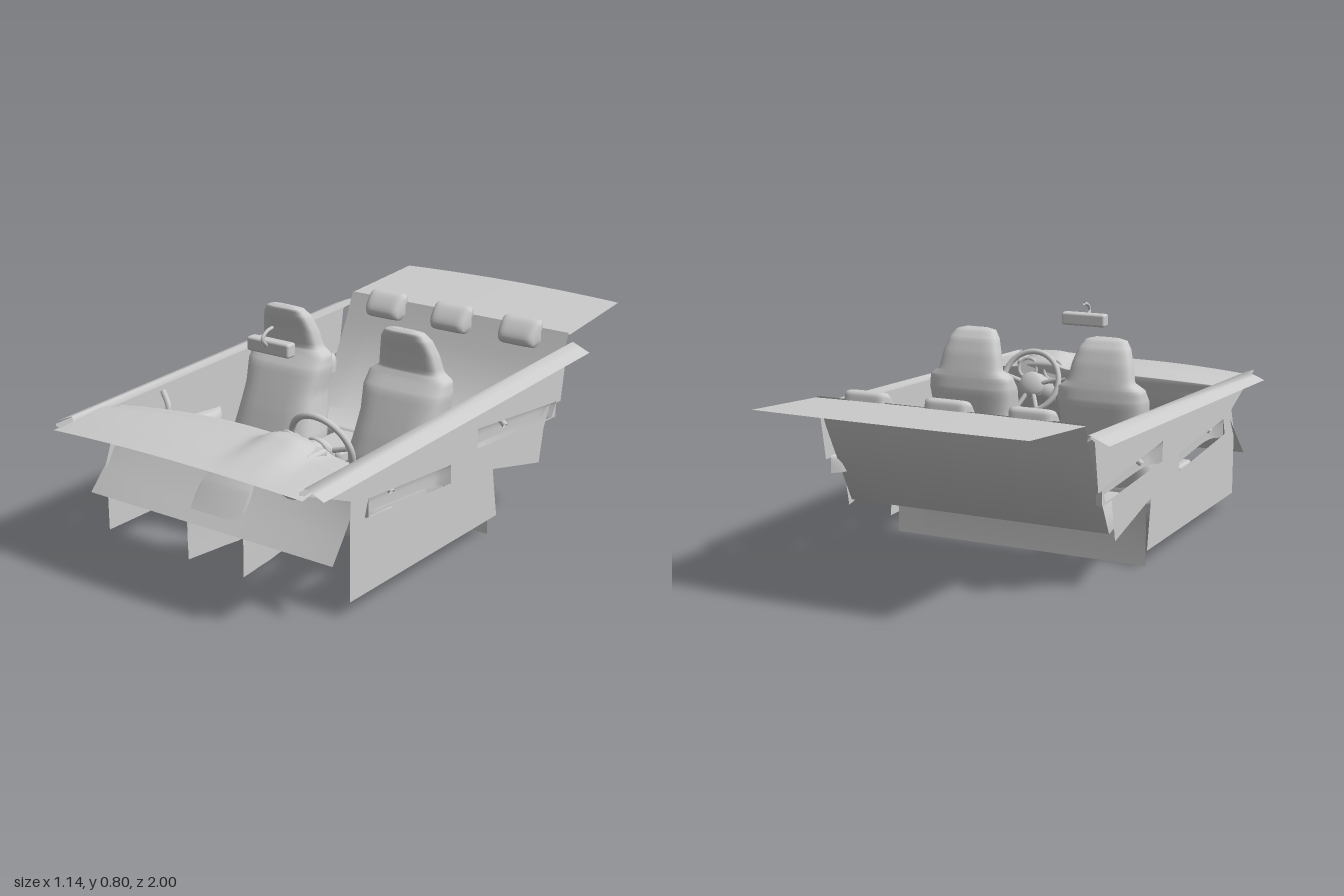
import * as THREE from 'three';
import { RoundedBoxGeometry } from 'three/addons/geometries/RoundedBoxGeometry.js';

const mat = new THREE.MeshStandardMaterial({ color: 0xcccccc, side: THREE.DoubleSide });

function add(parent, name, geo, x = 0, y = 0, z = 0) {
  const m = new THREE.Mesh(geo, mat);
  m.name = name;
  m.position.set(x, y, z);
  parent.add(m);
  return m;
}

// Sheet: f(u, v) returns [x, y, z] for u, v in 0..1
function sheet(nu, nv, f) {
  const pos = [], idx = [];
  for (let j = 0; j <= nv; j++) for (let i = 0; i <= nu; i++) pos.push(...f(i / nu, j / nv));
  for (let j = 0; j < nv; j++) for (let i = 0; i < nu; i++) {
    const a = j * (nu + 1) + i, b = a + 1, c = a + nu + 1, d = c + 1;
    idx.push(a, b, c, b, d, c);
  }
  const g = new THREE.BufferGeometry();
  g.setAttribute('position', new THREE.Float32BufferAttribute(pos, 3));
  g.setIndex(idx);
  g.computeVertexNormals();
  return g;
}

// Linear lookup in a list of rows
function row(rows, t) {
  const k = t * (rows.length - 1), i = Math.min(Math.floor(k), rows.length - 2);
  return rows[i].map((a, n) => a + (rows[i + 1][n] - a) * (k - i));
}

const curve = pts => new THREE.CatmullRomCurve3(pts.map(p => new THREE.Vector3(...p)));
const tube = (pts, r, n = 20) => new THREE.TubeGeometry(curve(pts), n, r, 8);
const sq = (v, p) => Math.sign(v) * Math.abs(v) ** p;

function makeSeat(x) {
  const seat = new THREE.Group();
  seat.name = 'frontSeat';
  seat.position.x = x;
  // Backrest with integral headrest: y, front z, back z, half width
  const levels = [
    [.17, .25, .1, .14], [.22, .24, .07, .17], [.3, .23, .045, .176], [.38, .205, .025, .163], [.45, .18, .015, .155],
    [.53, .15, .005, .163], [.575, .115, .01, .157], [.60, .1, .015, .122], [.66, .11, .03, .11],
    [.71, .125, .05, .094], [.738, .128, .075, .075], [.746, .115, .095, .045], [.746, .105, .103, .002]];
  add(seat, 'seatBack', sheet(32, 48, (u, v) => {
    const [y, zf, zb, hw] = row(levels, v), a = u * Math.PI * 2;
    return [hw * sq(Math.cos(a), .55), y, (zf + zb) / 2 + (zf - zb) / 2 * sq(Math.sin(a), .55)];
  }));
  // Cushion, raised along its sides, rounded underneath and narrower in front
  const cushion = new RoundedBoxGeometry(.32, .13, .45, 6, .055), p = cushion.attributes.position;
  for (let i = 0; i < p.count; i++) {
    const cx = p.getX(i), cz = p.getZ(i);
    if (p.getY(i) > 0) p.setY(i, p.getY(i) + .035 * (cx / .16) ** 2 + .04 * cz);
    p.setX(i, cx * (1 - .3 * cz));
  }
  cushion.computeVertexNormals();
  add(seat, 'seatCushion', cushion, 0, .2, .295);
  for (const s of [-1, 1])
    add(seat, 'seatSideTrim', new RoundedBoxGeometry(.045, .13, .12, 3, .012), s * .155, .175, .44);
  return seat;
}

function makeDoor(s) {
  const door = new THREE.Group();
  door.name = s > 0 ? 'leftDoor' : 'rightDoor';
  const topY = z => .5 + (.98 - z) * .045;
  const holes = [
    [[.64, .37], [.18, .34], [.18, .275], [.66, .31]],
    [[.02, .42], [-.5, .375], [-.47, .325], [.02, .35]]];
  // Side panel with two armrest openings
  const vec = a => a.map(q => new THREE.Vector2(...q));
  const front = s > 0 ? .735 : .765;
  const outline = new THREE.Shape(vec([
    [.98, .49], [.73, .39], [front, .3], [front, .055], [-.11, .065], [-.08, .245],
    [-.39, .175], [-.42, .32], [-.49, .32], [-.5, .37], [-.53, .37], [-.56, .54], [-.6, .565], [.98, .5]]));
  holes.forEach(h => outline.holes.push(new THREE.Path(vec(h))));
  const panel = new THREE.ShapeGeometry(outline), p = panel.attributes.position;
  for (let i = 0; i < p.count; i++) p.setXYZ(i, s * .502, p.getY(i), p.getX(i));
  panel.computeVertexNormals();
  add(door, 'doorPanel', panel);
  // Sloping window sill
  const sillFront = s > 0 ? .95 : .91;
  add(door, 'windowSill', sheet(3, 1, (u, v) => {
    const z = sillFront + (-.605 - sillFront) * v;
    const [x, dy] = row([[.495, -.02], [.5, .002], [.535, -.012], [.57, -.027]], u);
    return [s * x, topY(z) + dy, z];
  }));
  // Armrests: hoods over the openings, open underneath
  for (const [a, b, c, d] of holes) {
    add(door, 'doorArmrest', sheet(24, 8, (u, v) => {
      const top = row([a, b], u), low = row([d, c], u);
      const depth = .048 * Math.max(0, 1 - Math.abs(2 * u - 1) ** 6) ** .5;
      const ang = v * Math.PI / 2;
      return [s * (.502 - depth * sq(Math.sin(ang), .6)),
        low[1] - .01 + (top[1] - low[1] + .01) * sq(Math.cos(ang), .6), top[0]];
    }));
  }
  // Grab handles
  for (const [z, y] of [[.51, .38], [-.16, .41]])
    add(door, 'grabHandle', tube([[s * .498, y - .03, z], [s * .465, y, z - .005],
      [s * .46, y + .05, z - .015], [s * .498, y + .1, z - .03]], .011));
  return door;
}

function makeDashboard() {
  const dash = new THREE.Group();
  dash.name = 'dashboard';
  // Top and rear face in one curved sheet: z, y, amount of instrument hood
  const path = curve([[1, .485, 0], [.9, .5, .3], [.8, .508, .7], [.72, .51, 1], [.665, .497, .9],
    [.645, .455, 0], [.665, .4, 0], [.73, .31, 0], [.82, .205, 0]].map(([z, y, h]) => [h, y, z]));
  add(dash, 'dashboardSheet', sheet(48, 40, (u, v) => {
    const x = u - .5, edge = (x / .5) ** 2, { x: h, y, z } = path.getPoint(v);
    const hood = Math.exp(-(((x - .26) / .095) ** 4)) * .037 * h;
    // Front edge bows forward, rear lip bows the other way, bottom edge is straight
    const bow = v < .5 ? (z > .83 ? -.02 : .05) * Math.min(1, Math.abs(z - .83) / .1)
      : .05 * Math.min(1, (1 - v) / .4);
    const flare = 1 + (x < 0 ? .05 * Math.max(0, v - .8) / .2 : 0) + .03 * Math.max(0, 1 - v / .3);
    return [x * flare, y + hood + (v < .6 ? .012 - .022 * edge : 0), z + bow * edge];
  }));
  // Instrument housing with two gauges
  add(dash, 'instrumentHousing', new RoundedBoxGeometry(.24, .08, .1, 3, .012), .26, .48, .73);
  for (const x of [.205, .315]) {
    const ring = add(dash, 'gaugeRing', new THREE.TorusGeometry(.038, .007, 8, 28), x, .495, .652);
    ring.rotation.x = .3;
    const dial = add(dash, 'gaugeDial', new THREE.CylinderGeometry(.037, .037, .03, 28), x, .493, .665);
    dial.rotation.x = Math.PI / 2 + .3;
  }
  return dash;
}

function makeSteering() {
  const g = new THREE.Group();
  g.name = 'steering';
  g.position.set(.255, .465, .552);
  g.rotation.x = .36;
  add(g, 'steeringWheelRim', new THREE.TorusGeometry(.117, .011, 10, 40));
  const hub = add(g, 'steeringWheelHub', new THREE.SphereGeometry(.055, 20, 12), 0, -.01, .015);
  hub.scale.set(1, .9, .45);
  for (const a of [.15, Math.PI - .15, -1.2, Math.PI + 1.2])
    add(g, 'steeringWheelSpoke', tube([[.03 * Math.cos(a), .03 * Math.sin(a) - .01, .012],
      [.115 * Math.cos(a), .115 * Math.sin(a), 0]], .009, 4));
  const column = add(g, 'columnShroud', new THREE.CylinderGeometry(.06, .05, .17, 8), 0, -.01, .115);
  column.rotation.x = Math.PI / 2;
  add(g, 'controlStalk', tube([[0, .01, .07], [-.06, .015, .07], [-.12, .03, .06]], .007, 8));
  return g;
}

function makeConsole() {
  const g = new THREE.Group();
  g.name = 'centreConsole';
  // Hollow shell, open below: z, half width, top y, bottom y
  const rows = [[.025, .076, .25, .06], [.2, .077, .26, .06], [.25, .077, .21, .06], [.46, .077, .2, .06],
    [.58, .09, .22, .055], [.63, .1, .33, .055], [.675, .105, .365, .055], [.7, .108, .36, .055],
    [.735, .113, .32, .055], [.79, .12, .24, .055]];
  const section = [[-.98, 0], [-1, .5], [-.98, .92], [-.85, 1], [0, 1], [.85, 1], [.98, .92], [1, .5], [.98, 0]];
  add(g, 'consoleShell', sheet(8, 36, (u, v) => {
    const [z, hw, top, low] = row(rows, v), [x, t] = row(section, u);
    return [hw * x, low + (top - low) * t, z];
  }));
  add(g, 'consoleRearWall', new THREE.PlaneGeometry(.15, .19), 0, .155, .025);
  add(g, 'consoleArmrest', new RoundedBoxGeometry(.15, .06, .2, 4, .02), 0, .275, .125);
  // Gear lever and handbrake
  add(g, 'gearGaiter', new THREE.CylinderGeometry(.015, .05, .05, 4), 0, .23, .52).rotation.y = Math.PI / 4;
  add(g, 'gearLever', tube([[0, .22, .52], [0, .27, .515], [0, .31, .505]], .008, 8));
  add(g, 'gearKnob', new THREE.SphereGeometry(.02, 16, 10), 0, .32, .503);
  add(g, 'handbrake', tube([[.05, .2, .43], [.05, .235, .38], [.05, .265, .3]], .012, 10));
  return g;
}

function makeRear() {
  const g = new THREE.Group();
  g.name = 'rearBench';
  // Backrest, cushion and vertical front: z, y
  const prof = [[-.6, .605], [-.55, .49], [-.4, .2], [-.1, .255], [-.08, .235], [-.08, 0]];
  add(g, 'benchSheet', sheet(8, prof.length - 1, (u, v) => {
    const [z, y] = row(prof, v);
    return [(u - .5) * .97, y, z];
  }));
  // Parcel shelf with a bowed rear edge
  add(g, 'parcelShelf', sheet(16, 6, (u, v) => {
    const x = (u - .5) * 2;
    return [x * (.49 - .01 * v), .603 + .034 * v - .004 * x * x, -.6 - v * (.4 - .022 * x * x)];
  }));
  // Headrests wrap over the top edge of the backrest
  const pad = curve([[-.615, .605, 0], [-.608, .632, 0], [-.575, .634, 0], [-.545, .61, 0],
    [-.522, .572, 0], [-.528, .548, 0], [-.56, .535, 0]]);
  for (const x of [-.3, 0, .3]) {
    add(g, 'rearHeadrest', sheet(20, 20, (u, v) => {
      const { x: z, y } = pad.getPoint(v), t = 2 * u - 1;
      const full = Math.max(0, 1 - Math.abs(t) ** 8) ** .5;
      return [x + .082 * t, .59 + (y - .59) * (.6 + .4 * full), -.58 + (z + .58) * full];
    }));
  }
  return g;
}

function makeMirror() {
  const g = new THREE.Group();
  g.name = 'rearViewMirror';
  add(g, 'mirrorBody', new RoundedBoxGeometry(.175, .048, .042, 3, .009), .002, .734, .493);
  add(g, 'mirrorStem', tube([[0, .795, .482], [0, .786, .515], [0, .765, .533], [0, .738, .51]], .006, 16));
  return g;
}

export function createModel() {
  const model = new THREE.Group();
  model.name = 'carInterior';
  for (const s of [-1, 1]) model.add(makeSeat(s * .255), makeDoor(s));
  model.add(makeDashboard(), makeSteering(), makeConsole(), makeRear(), makeMirror());
  return model;
}
